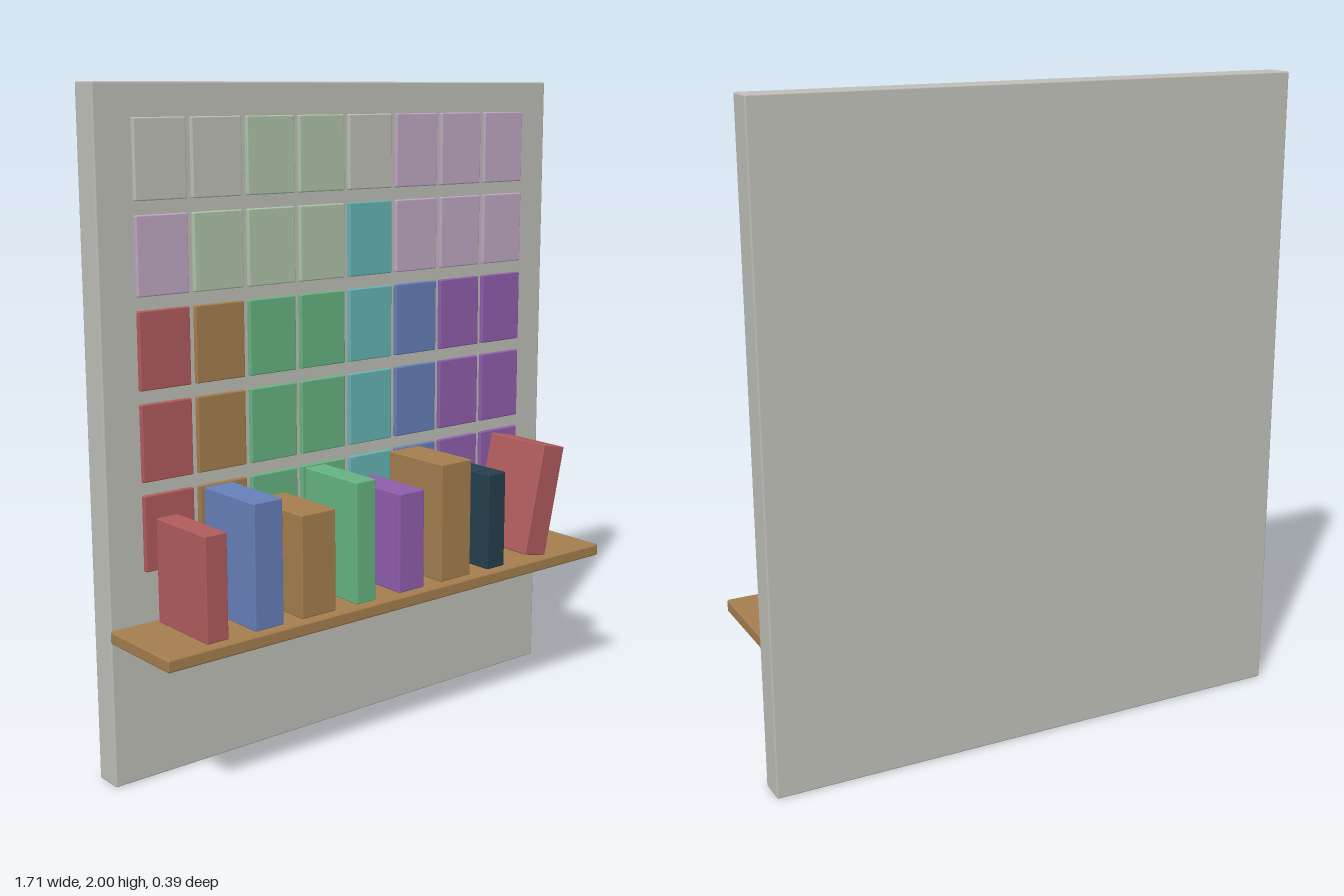
import * as THREE from 'three';
import { RoundedBoxGeometry } from 'three/addons/geometries/RoundedBoxGeometry.js';

const mat = (name, color) => {
  const m = new THREE.MeshStandardMaterial({ color });
  m.name = name;
  return m;
};

export function createModel() {
  const model = new THREE.Group();
  model.name = 'tiledWallShelf';

  const stone = mat('stone grey', 0xbebeb8);
  const red = mat('brick red', 0xb05b5c);
  const brown = mat('wood brown', 0xa47d4e);
  const green = mat('leaf green', 0x66b381);
  const teal = mat('teal', 0x66b2b4);
  const blue = mat('slate blue', 0x667fb8);
  const purple = mat('purple', 0x8e5dac);
  const navy = mat('dark navy', 0x253f4c);
  const sage = mat('pale sage', 0xafc4a9);
  const mauve = mat('pale mauve', 0xbea6c2);

  // Softly bevelled box, placed by its centre
  function block(name, material, [w, h, d], [x, y, z], bevel) {
    const mesh = new THREE.Mesh(new RoundedBoxGeometry(w, h, d, 2, bevel), material);
    mesh.name = name;
    mesh.position.set(x, y, z);
    model.add(mesh);
    return mesh;
  }

  // Wall panel and shelf board
  block('wallPanel', stone, [1.71, 2, 0.09], [0, 1, -0.149], 0.005);
  block('shelf', brown, [1.71, 0.038, 0.302], [0, 0.457, 0.043], 0.006);

  // Grid of tiles, top row first
  const full = [red, brown, green, green, teal, blue, purple, purple];
  const rows = [
    [stone, stone, sage, sage, stone, mauve, mauve, mauve],
    [mauve, sage, sage, sage, teal, mauve, mauve, mauve],
    full, full, full,
  ];
  rows.forEach((row, r) => row.forEach((material, c) => {
    block(`tile_${r + 1}_${c + 1}`, material, [0.168, 0.224, 0.016],
      [(c - 3.5) * 0.1874, 1.793 - r * 0.2628, -0.098], 0.004);
  }));

  // Upright books: material, centre x, width, height
  const shelfTop = 0.476;
  const books = [
    [red, -0.67, 0.073, 0.311],
    [blue, -0.492, 0.1, 0.375],
    [brown, -0.313, 0.124, 0.311],
    [green, -0.135, 0.074, 0.375],
    [purple, 0.046, 0.099, 0.311],
    [brown, 0.229, 0.124, 0.375],
    [navy, 0.405, 0.074, 0.311],
  ];
  books.forEach(([material, x, w, h], i) => {
    block(`book_${i + 1}`, material, [w, h, 0.247], [x, shelfTop + h / 2, 0.038], 0.004);
  });

  // Last book leans to the side
  const leaning = block('leaningBook', red, [0.095, 0.365, 0.247], [0.624, 0.66, 0.038], 0.004);
  leaning.rotation.z = -0.22;

  return model;
}
